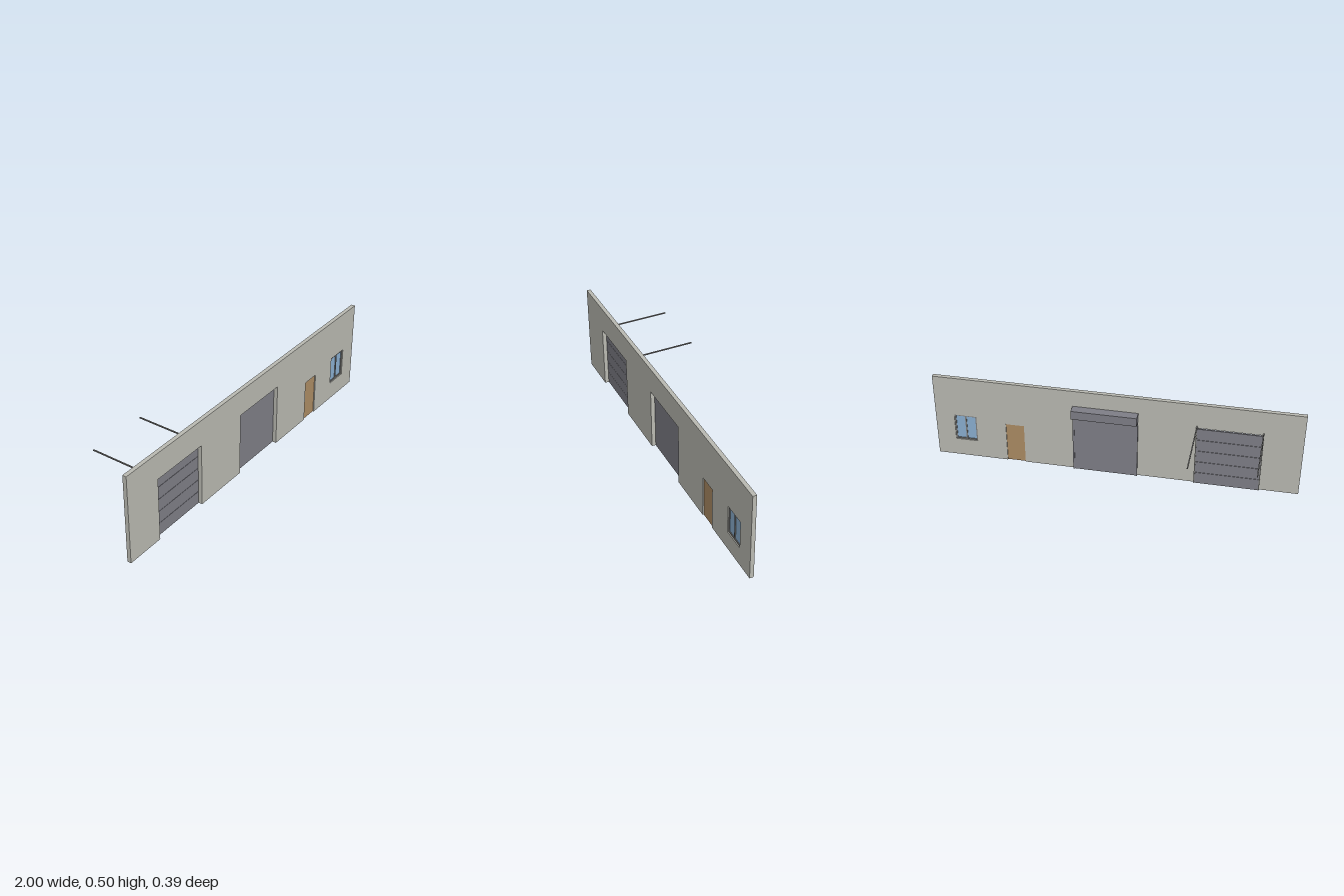
import * as THREE from 'three';

const material = (name, color, side = THREE.FrontSide) => {
  const m = new THREE.MeshStandardMaterial({ color, side });
  m.name = name;
  return m;
};

export function createModel() {
  const model = new THREE.Group();
  model.name = 'garageFacade';
  const wallMat = material('concrete', 0xbabab2);
  const doorMat = material('doorGrey', 0x7f7f87);
  const woodMat = material('wood', 0xad8c64);
  const glassMat = material('glass', 0x8bb0d2);
  const metalMat = material('metalGrey', 0x80807f);

  // Box given by its limits on each axis
  const box = (name, mat, [x0, x1], [y0, y1], [z0, z1], parent = model) => {
    const mesh = new THREE.Mesh(new THREE.BoxGeometry(x1 - x0, y1 - y0, z1 - z0), mat);
    mesh.position.set((x0 + x1) / 2, (y0 + y1) / 2, (z0 + z1) / 2);
    mesh.name = name;
    parent.add(mesh);
    return mesh;
  };
  const group = (name) => {
    const g = new THREE.Group();
    g.name = name;
    model.add(g);
    return g;
  };

  const back = 0.173, front = 0.195, doorTop = 0.357;
  const sectional = [-0.781, -0.444], roller = [-0.116, 0.221];
  const entry = [0.503, 0.605], win = { x: [0.77, 0.895], y: [0.105, 0.265] };

  // Wall: outline notched at the three doors, with a window hole
  const shape = new THREE.Shape();
  shape.moveTo(-1, 0);
  for (const [[a, b], top] of [[sectional, doorTop], [roller, doorTop], [entry, 0.24]]) {
    shape.lineTo(a, 0);
    shape.lineTo(a, top);
    shape.lineTo(b, top);
    shape.lineTo(b, 0);
  }
  shape.lineTo(1, 0);
  shape.lineTo(1, 0.502);
  shape.lineTo(-1, 0.502);
  shape.closePath();
  const hole = new THREE.Path();
  hole.moveTo(win.x[0], win.y[0]);
  hole.lineTo(win.x[0], win.y[1]);
  hole.lineTo(win.x[1], win.y[1]);
  hole.lineTo(win.x[1], win.y[0]);
  hole.closePath();
  shape.holes.push(hole);
  const wall = new THREE.Mesh(
    new THREE.ExtrudeGeometry(shape, { depth: front - back, bevelEnabled: false }), wallMat);
  wall.position.z = back;
  wall.name = 'wall';
  model.add(wall);

  // Sectional door: five panels with narrow seams
  const sectionalDoor = group('sectionalDoor');
  const step = doorTop / 5;
  for (let i = 0; i < 5; i++) {
    box('doorPanel', doorMat, [-0.784, -0.441],
      [i * step + (i ? 0.001 : 0), (i + 1) * step - 0.001], [0.165, back], sectionalDoor);
  }
  // Upright and overhead tracks at both sides
  for (const x of [-0.787, -0.438]) {
    const span = [x - 0.003, x + 0.003];
    box('uprightTrack', metalMat, span, [0, 0.363], [0.163, back], sectionalDoor);
    box('overheadTrack', metalMat, span, [0.363, 0.369], [-0.195, back], sectionalDoor);
  }

  // Roller door: curtain, guides and housing
  const rollerDoor = group('rollerDoor');
  box('curtain', doorMat, [-0.116, 0.221], [0, doorTop], [0.166, back], rollerDoor);
  for (const x of [-0.1205, 0.2255]) {
    box('guide', doorMat, [x - 0.0045, x + 0.0045], [0, doorTop], [0.163, back], rollerDoor);
  }
  box('housing', doorMat, [-0.125, 0.23], [doorTop, 0.408], [0.123, back], rollerDoor);

  // Entry door set into the wall
  box('entryDoor', woodMat, entry, [0, 0.24], [0.179, 0.189]);

  // Window: frame, centre post and two panes
  const windowGroup = group('window');
  const f = 0.008, depth = [0.178, 0.19];
  const [x0, x1] = win.x, [y0, y1] = win.y, mid = (x0 + x1) / 2;
  box('frameBottom', metalMat, win.x, [y0, y0 + f], depth, windowGroup);
  box('frameTop', metalMat, win.x, [y1 - f, y1], depth, windowGroup);
  for (const [a, b] of [[x0, x0 + f], [mid - f / 2, mid + f / 2], [x1 - f, x1]]) {
    box('framePost', metalMat, [a, b], [y0 + f, y1 - f], depth, windowGroup);
  }
  for (const [a, b] of [[x0 + f, mid - f / 2], [mid + f / 2, x1 - f]]) {
    box('pane', glassMat, [a, b], [y0 + f, y1 - f], [0.182, 0.186], windowGroup);
  }

  return model;
}
